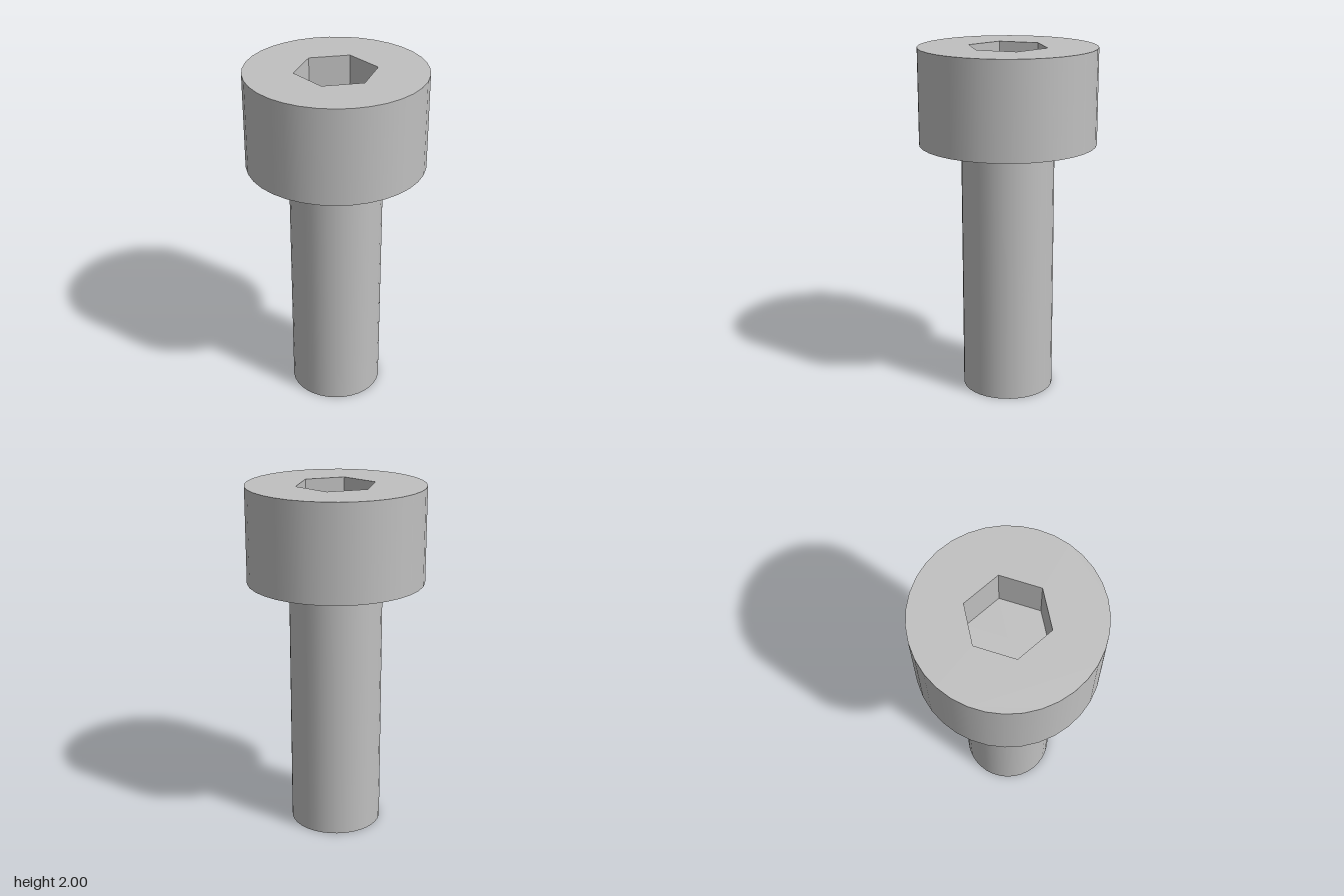
import * as THREE from 'three';

const SIDES = 35;
const HEAD_R = 0.5, SHAFT_R = 0.263, SOCKET_R = 0.228;
const TOP = 2, SHOULDER = 1.46, SOCKET_DEPTH = 0.27;

// Corners of a regular polygon, the first one on +x
function polygon(radius, sides) {
  return Array.from({ length: sides }, (_, i) => {
    const a = (i / sides) * Math.PI * 2;
    return new THREE.Vector2(radius * Math.cos(a), radius * Math.sin(a));
  });
}

// Open tube between two heights, with a corner on +x
function wall(radius, y0, y1, sides) {
  return new THREE.CylinderGeometry(radius, radius, y1 - y0, sides, 1, true, Math.PI / 2)
    .translate(0, (y0 + y1) / 2, 0);
}

export function createModel() {
  const screw = new THREE.Group();
  screw.name = 'socketHeadScrew';
  const steel = new THREE.MeshStandardMaterial({ color: 0xc0c0c0 });
  steel.name = 'steel grey';

  function add(name, geometry, parent) {
    const mesh = new THREE.Mesh(geometry, steel);
    mesh.name = name;
    parent.add(mesh);
  }
  function part(name) {
    const group = new THREE.Group();
    group.name = name;
    screw.add(group);
    return group;
  }

  // Shaft
  const shaft = part('shaft');
  add('shaftSide', wall(SHAFT_R, 0, SHOULDER, SIDES), shaft);
  add('shaftEnd', new THREE.CircleGeometry(SHAFT_R, SIDES).rotateX(Math.PI / 2), shaft);

  // Head with a hexagonal opening in its top face
  const head = part('head');
  const topShape = new THREE.Shape(polygon(HEAD_R, SIDES));
  topShape.holes.push(new THREE.Path(polygon(SOCKET_R, 6)));
  add('headSide', wall(HEAD_R, SHOULDER, TOP, SIDES), head);
  add('headTop', new THREE.ShapeGeometry(topShape).rotateX(-Math.PI / 2).translate(0, TOP, 0), head);
  add('headUnderside', new THREE.RingGeometry(SHAFT_R, HEAD_R, SIDES)
    .rotateX(Math.PI / 2).translate(0, SHOULDER, 0), head);

  // Hex socket: mirrored so its flat walls face inward
  const socket = part('hexSocket');
  const socketWall = wall(SOCKET_R, TOP - SOCKET_DEPTH, TOP, 6).scale(-1, 1, 1).toNonIndexed();
  socketWall.computeVertexNormals();
  add('socketWalls', socketWall, socket);
  add('socketFloor', new THREE.CircleGeometry(SOCKET_R, 6)
    .rotateX(-Math.PI / 2).translate(0, TOP - SOCKET_DEPTH, 0), socket);

  return screw;
}
